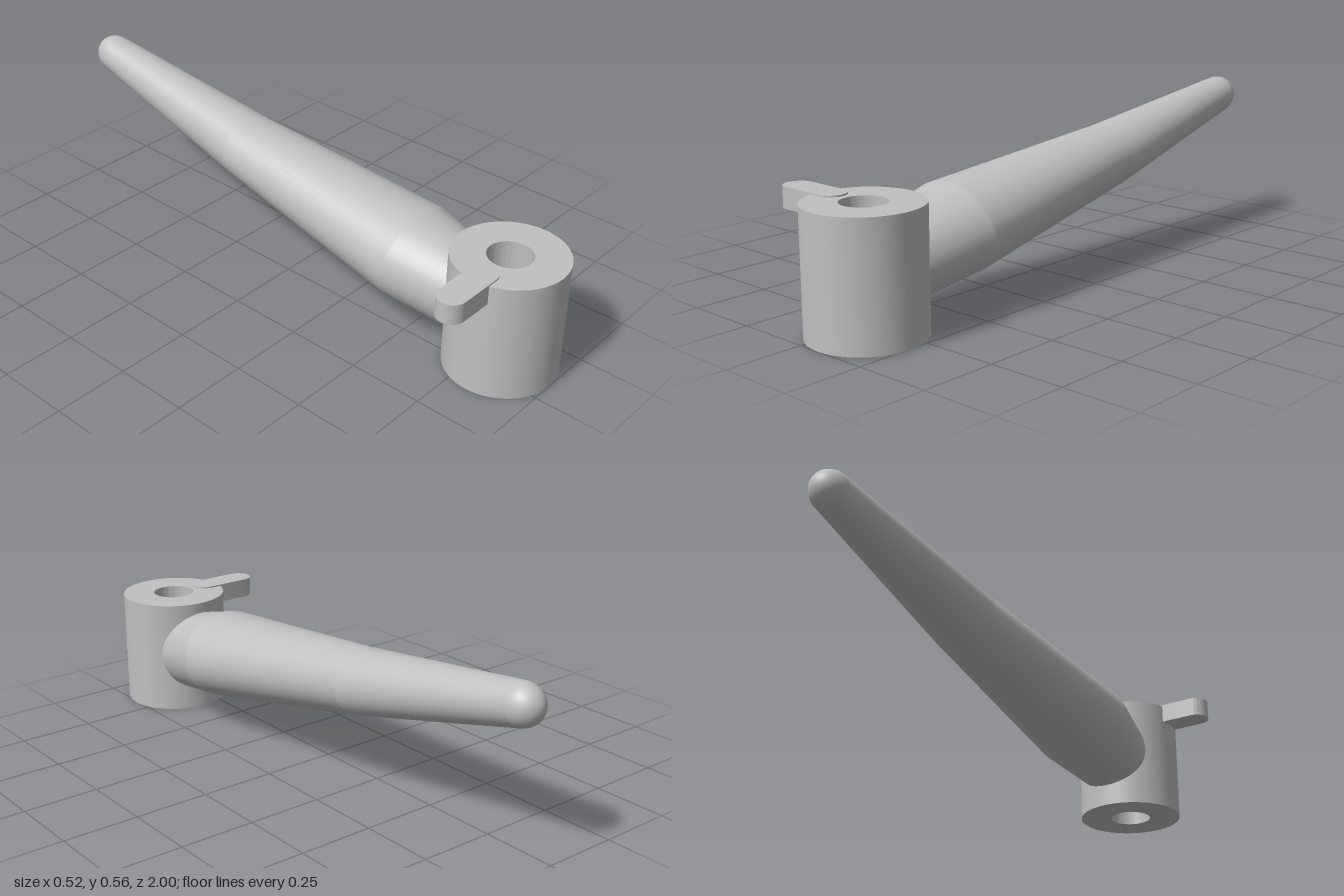
import * as THREE from 'three';
import { toCreasedNormals } from 'three/addons/utils/BufferGeometryUtils.js';

const X = 0.075; // shared centre line of hub and arm
const HUB_Z = 0.818;
const TILT = 0.16; // lean of the arm's cross-sections

// Upright plate or block from a plan outline
function extrudeUp(shape, bottom, top) {
  const g = new THREE.ExtrudeGeometry(shape, { depth: top - bottom, bevelEnabled: false, curveSegments: 32 });
  g.rotateX(-Math.PI / 2);
  g.translate(0, bottom, HUB_Z);
  return toCreasedNormals(g, 0.6);
}

// Smooth skin through elliptical sections [z, y, halfWidth, halfHeight]
function loft(sections, sides = 48) {
  const pos = [], idx = [];
  sections.forEach(([z, y, w, h], s) => {
    for (let i = 0; i < sides; i++) {
      const a = (i / sides) * Math.PI * 2, up = h * Math.sin(a);
      pos.push(X + w * Math.cos(a), y + up * Math.cos(TILT), z + up * Math.sin(TILT));
      if (s === sections.length - 1) continue;
      const p = s * sides + i, q = s * sides + (i + 1) % sides;
      idx.push(p, p + sides, q + sides, p, q + sides, q);
    }
  });
  const g = new THREE.BufferGeometry();
  g.setAttribute('position', new THREE.Float32BufferAttribute(pos, 3));
  g.setIndex(idx);
  g.computeVertexNormals();
  return g;
}

export function createModel() {
  const model = new THREE.Group();
  model.name = 'leverHandle';
  const grey = new THREE.MeshStandardMaterial({ color: 0xc0c0c0 });
  grey.name = 'grey';
  const add = (name, geometry, parent = model) => {
    const mesh = new THREE.Mesh(geometry, grey);
    mesh.name = name;
    parent.add(mesh);
  };

  // Hub with a through bore
  const ring = new THREE.Shape().absarc(X, 0, 0.182, 0, Math.PI * 2);
  ring.holes.push(new THREE.Path().absarc(X, 0, 0.072, 0, Math.PI * 2, true));
  add('hub', extrudeUp(ring, 0, 0.395));

  // Round-ended pointer tab on the hub's side
  const r = 0.047;
  const tab = new THREE.Shape();
  tab.absarc(-0.064, 0, r, -Math.PI / 2, Math.PI / 2);
  tab.absarc(-0.213, 0, r, Math.PI / 2, Math.PI * 1.5);
  tab.closePath();
  add('pointerTab', extrudeUp(tab, 0.333, 0.4));

  // Arm: flared root, two tapering lengths, domed tip
  const arm = new THREE.Group();
  arm.name = 'arm';
  model.add(arm);
  const sections = [
    [0.72, 0.198, 0.131, 0.135],
    [0.47, 0.251, 0.182, 0.147],
    [-0.265, 0.36, 0.119, 0.108],
    [-0.925, 0.488, 0.063, 0.067],
  ];
  ['armRoot', 'armGrip', 'armTaper'].forEach((name, i) => {
    add(name, loft([sections[i], sections[i + 1]]), arm);
  });
  const [z, y, w, h] = sections[3];
  const dome = [];
  for (let i = 0; i <= 12; i++) {
    const a = (i / 12) * Math.PI / 2, out = 0.074 * Math.sin(a);
    dome.push([z - out * Math.cos(TILT), y + out * Math.sin(TILT), w * Math.cos(a), h * Math.cos(a)]);
  }
  add('armTip', loft(dome), arm);

  return model;
}
